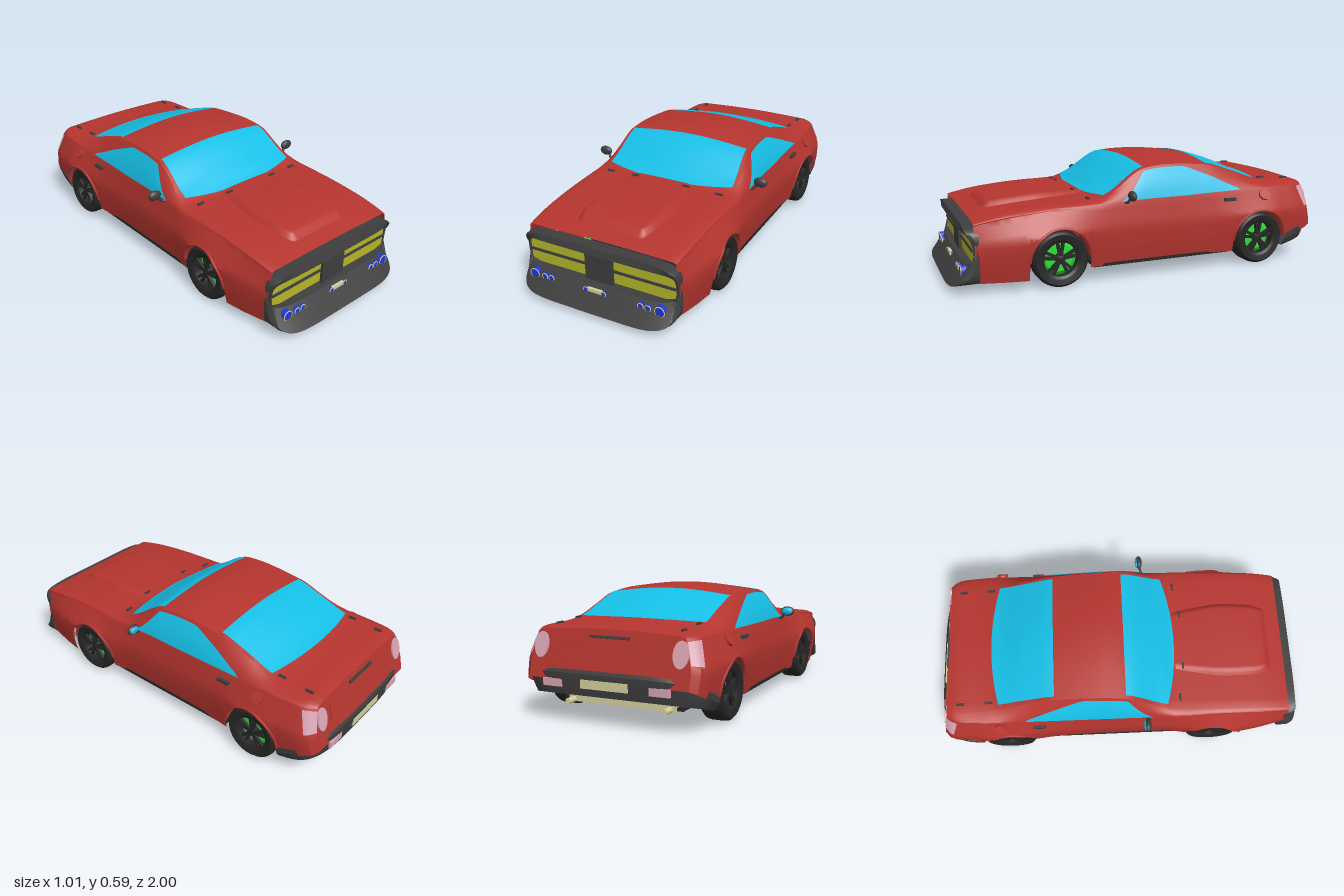
import * as THREE from 'three';
import { toCreasedNormals } from 'three/addons/utils/BufferGeometryUtils.js';

const mat = (c) => new THREE.MeshStandardMaterial({ color: c, side: THREE.DoubleSide });
const RED = mat(0xb5352f), GLASS = mat(0x16bfe6), DARK = mat(0x3e3e3e), TYRE = mat(0x262626),
  YELLOW = mat(0xb4b52a), BLUE = mat(0x2038d8), GREEN = mat(0x2fdc35), CREAM = mat(0xd6d09c), PINK = mat(0xd8a3b2);
const lerp = THREE.MathUtils.lerp;

// Smooth curve without overshoot through rows [position, value, value...], column c
function curve(rows, c, p) {
  const r = rows[0][0] < rows[1][0] ? rows : [...rows].reverse(), n = r.length;
  p = Math.min(Math.max(p, r[0][0]), r[n - 1][0]);
  let i = 0;
  while (i < n - 2 && p > r[i + 1][0]) i++;
  const d = (k) => (r[k + 1][c] - r[k][c]) / (r[k + 1][0] - r[k][0]);
  const m = (k) => {
    if (k === 0) return d(0);
    if (k === n - 1) return d(n - 2);
    const a = d(k - 1), b = d(k);
    return a * b <= 0 ? 0 : 2 * a * b / (a + b);
  };
  const h = r[i + 1][0] - r[i][0], t = (p - r[i][0]) / h, t2 = t * t, t3 = t2 * t;
  return (2 * t3 - 3 * t2 + 1) * r[i][c] + (t3 - 2 * t2 + t) * h * m(i)
    + (3 * t2 - 2 * t3) * r[i + 1][c] + (t3 - t2) * h * m(i + 1);
}

// Surface from a rule over two lists of parameters
function grid(as, bs, fn) {
  const pos = [], idx = [], w = bs.length;
  as.forEach((a) => bs.forEach((b) => pos.push(...fn(a, b))));
  for (let i = 0; i < as.length - 1; i++) for (let j = 0; j < w - 1; j++) {
    const k = i * w + j;
    idx.push(k, k + w, k + 1, k + 1, k + w, k + w + 1);
  }
  const g = new THREE.BufferGeometry();
  g.setAttribute('position', new THREE.Float32BufferAttribute(pos, 3));
  g.setIndex(idx);
  return toCreasedNormals(g, 0.5);
}
const range = (a, b, n) => Array.from({ length: n + 1 }, (_, i) => lerp(a, b, i / n));

// Body stations: z, waist x, belt x, belt y, roof edge x, roof edge y, centre top y
const KEYS = [
  [0.93, 0.405, 0.39, 0.315, 0.375, 0.328, 0.333], [0.85, 0.425, 0.40, 0.335, 0.385, 0.35, 0.356],
  [0.7, 0.458, 0.41, 0.357, 0.39, 0.375, 0.385], [0.5, 0.482, 0.415, 0.375, 0.39, 0.392, 0.4],
  [0.28, 0.45, 0.42, 0.385, 0.385, 0.4, 0.408], [0.2, 0.442, 0.42, 0.388, 0.378, 0.428, 0.458],
  [0, 0.44, 0.42, 0.39, 0.358, 0.545, 0.573], [-0.12, 0.44, 0.42, 0.39, 0.352, 0.556, 0.59],
  [-0.36, 0.447, 0.42, 0.395, 0.347, 0.54, 0.569], [-0.5, 0.46, 0.42, 0.4, 0.347, 0.497, 0.53],
  [-0.7, 0.475, 0.42, 0.41, 0.352, 0.436, 0.453], [-0.8, 0.464, 0.415, 0.41, 0.357, 0.43, 0.443],
  [-0.86, 0.455, 0.41, 0.41, 0.36, 0.43, 0.44], [-0.9, 0.44, 0.395, 0.41, 0.355, 0.428, 0.437],
  [-0.93, 0.405, 0.37, 0.405, 0.34, 0.42, 0.43]];
const WHEELS = [0.475, -0.635], ARCH = 0.155, AXLE = 0.14;

function lowerEdge(z) {
  for (const c of WHEELS) {
    const d = Math.abs(z - c);
    if (d < ARCH) return AXLE + Math.sqrt(ARCH * ARCH - d * d);
  }
  return z > 0.6 ? 0.05 : z < -0.75 ? lerp(0.09, 0.2, (-0.75 - z) / 0.18) : 0.08;
}
// u: 0-1 flank, 1-2 cabin side, 2-3 roof, hood and deck
function bodyPoint(u, z) {
  const [W, xB, yB, xR, yR, yT] = [1, 2, 3, 4, 5, 6].map((c) => curve(KEYS, c, z));
  let x, y;
  if (u <= 1) {
    y = lerp(lowerEdge(z), yB, u);
    const s = (y - 0.08) / (yB - 0.08);
    x = s < 0.62 ? W * (0.95 + 0.05 * Math.sin(Math.PI / 2 * s / 0.62)) : lerp(W, xB, (s - 0.62) / 0.38);
  } else if (u <= 2) {
    x = lerp(xB, xR, u - 1) + 0.008 * Math.sin(Math.PI * (u - 1));
    y = lerp(yB, yR, u - 1);
  } else {
    x = xR * (3 - u);
    y = lerp(yR, yT, Math.sin(Math.PI / 2 * (u - 2)));
  }
  const lean = THREE.MathUtils.smoothstep(-z, 0.78, 0.92) * 0.25;
  return new THREE.Vector3(x, y, z - lean * (0.435 - y));
}
// Point lifted off the body skin
function lifted(u, z, h = 0.004) {
  const e = 0.004, p = bodyPoint(u, z);
  const du = bodyPoint(Math.min(u + e, 3), z).sub(bodyPoint(u - e, z));
  const dz = bodyPoint(u, z + e).sub(bodyPoint(u, z - e));
  return p.addScaledVector(du.cross(dz).normalize(), h);
}

export function createModel() {
  const car = new THREE.Group();
  const add = (name, geo, m, x = 0, y = 0, z = 0, parent = car) => {
    const o = new THREE.Mesh(geo, m);
    o.name = name;
    o.position.set(x, y, z);
    parent.add(o);
    return o;
  };
  const box = (name, m, w, h, d, x, y, z) => add(name, new THREE.BoxGeometry(w, h, d), m, x, y, z);

  // Body shell with cut wheel arches
  const zs = range(0.88, -0.93, 70);
  for (const c of WHEELS) {
    for (let k = 0; k <= 24; k++) zs.push(c + ARCH * 0.99999 * Math.cos(Math.PI * k / 24));
    zs.push(c + ARCH + 0.0005, c - ARCH - 0.0005);
  }
  zs.sort((a, b) => b - a);
  const us = [...range(0, 1, 12), ...range(1, 2, 6).slice(1), ...range(2, 3, 8).slice(1)];
  const both = [...us, ...us.slice(0, -1).reverse().map((u) => -u - 1e-9)];
  add('bodyShell', grid(zs, both, (z, u) => {
    const p = bodyPoint(Math.max(0, Math.abs(u)), z);
    return [u < 0 ? -p.x : p.x, p.y, p.z];
  }), RED);
  add('tailPanel', grid(us, [-1, 1], (u, s) => {
    const p = bodyPoint(u, -0.93);
    return [s * p.x, p.y, p.z];
  }), RED);

  // Glass
  const glass = (name, u0, zTop, zBase) => add(name, grid(range(-1, 1, 24), range(0, 1, 12), (a, t) => {
    const p = lifted(lerp(3, u0, Math.abs(a)), lerp(zTop(a), zBase(a), t));
    return [a < 0 ? -p.x : p.x, p.y, p.z];
  }), GLASS);
  glass('windshield', 2.05, () => 0.005, (a) => 0.28 - 0.055 * a * a);
  glass('rearWindow', 2.05, () => -0.36, (a) => -0.7 + 0.04 * a * a);

  for (const s of [1, -1]) {
    const side = s > 0 ? 'left' : 'right';
    add(side + 'SideWindow', grid(range(0, 1, 30), range(0, 1, 6), (t, v) => {
      const top = Math.min(1, t * 5) * Math.min(1, Math.pow((1 - t) * 2.2, 0.7));
      const p = lifted(1.05 + 0.87 * top * v, 0.15 - 0.68 * t);
      return [s * p.x, p.y, p.z];
    }), GLASS);
    add(side + 'TailLightSide', grid(range(0.5, 0.96, 8), range(0, 1, 6), (u, t) => {
      const p = lifted(u, lerp(-0.875 - 0.03 * (0.96 - u), -0.929, t));
      return [s * p.x, p.y, p.z];
    }), PINK);
    // Tail light rear face
    const lens = add(side + 'TailLight', new THREE.CylinderGeometry(0.06, 0.06, 0.01, 20), PINK, s * 0.352, 0.345, -0.955);
    lens.scale.x = 0.62;
    lens.rotation.x = Math.PI / 2 + 0.245;
    // Door mirror
    add(side + 'Mirror', new THREE.SphereGeometry(1, 20, 12), DARK, s * 0.47, 0.428, 0.115).scale.set(0.037, 0.026, 0.018);
    add(side + 'MirrorGlass', new THREE.SphereGeometry(1, 16, 10), GLASS, s * 0.47, 0.428, 0.105).scale.set(0.03, 0.02, 0.012);
    add(side + 'MirrorStalk', new THREE.TubeGeometry(new THREE.QuadraticBezierCurve3(
      new THREE.Vector3(s * 0.415, 0.39, 0.13), new THREE.Vector3(s * 0.44, 0.38, 0.125), new THREE.Vector3(s * 0.45, 0.42, 0.115)), 8, 0.007, 8), DARK);
    // Handle, filler cap and panel pins
    box(side + 'DoorHandle', DARK, 0.016, 0.016, 0.065, s * 0.44, 0.362, -0.455);
    add(side + 'FillerCap', new THREE.CylinderGeometry(0.03, 0.03, 0.012, 20), RED, s * 0.446, 0.375, -0.66).rotation.z = s * -1.0;
    for (const [x, y, z, w, d] of [[0.32, 0.405, 0.295, 0.04, 0.012], [0.15, 0.423, 0.32, 0.035, 0.01], [0.33, 0.346, 0.85, 0.04, 0.012],
      [0.32, 0.447, -0.71, 0.012, 0.04], [0.32, 0.437, -0.86, 0.012, 0.04]]) box(side + 'PanelPin', DARK, w, 0.008, d, s * x, y, z);
    // Wheels, arch lips and wells
    for (const c of WHEELS) {
      const end = c > 0 ? 'Front' : 'Rear';
      const lip = range(0, Math.PI, 24).map((a) => {
        const p = bodyPoint(0, c + ARCH * 0.9999 * Math.cos(a));
        return new THREE.Vector3(s * p.x, p.y, p.z);
      });
      add(side + end + 'ArchLip', new THREE.TubeGeometry(new THREE.CatmullRomCurve3(lip), 40, 0.007, 6), RED);
      const well = add(side + end + 'WheelWell', new THREE.CylinderGeometry(ARCH, ARCH, 0.14, 24, 1, true, 0, Math.PI), RED, s * 0.375, AXLE, c);
      well.rotation.z = Math.PI / 2;
      add(side + end + 'WellWall', new THREE.CircleGeometry(ARCH, 24, 0, Math.PI), RED, s * 0.31, AXLE, c).rotation.y = Math.PI / 2;
      const wheel = makeWheel(add);
      wheel.name = side + end + 'Wheel';
      wheel.position.set(s * 0.4, AXLE, c);
      if (s < 0) wheel.rotation.y = Math.PI;
      car.add(wheel);
    }
    // Grille panel and lamps
    const g = new THREE.Shape([[0.075, 0.148], [0.35, 0.148], [0.395, 0.163], [0.398, 0.25], [0.375, 0.285], [0.075, 0.285]]
      .map(([x, y]) => new THREE.Vector2(s * x, y)));
    add(side + 'GrillePanel', new THREE.ExtrudeGeometry(g, { depth: 0.012, bevelEnabled: false }), YELLOW, 0, 0, 0.873);
    box(side + 'GrilleSlat', DARK, 0.325, 0.012, 0.02, s * 0.237, 0.213, 0.882);
    for (const [x, r] of [[0.345, 0.025], [0.285, 0.015], [0.247, 0.015], [0.048, 0.013]]) {
      add(side + 'Lamp', new THREE.CylinderGeometry(r, r, 0.03, 16), BLUE, s * x, 0.11, 0.927).rotation.x = Math.PI / 2;
      add(side + 'LampRing', new THREE.TorusGeometry(r, 0.0025, 6, 16), CREAM, s * x, 0.11, 0.941);
    }
    box(side + 'RearReflector', PINK, 0.1, 0.035, 0.012, s * 0.27, 0.185, -0.993);
    add(side + 'ExhaustTip', new THREE.CylinderGeometry(0.014, 0.014, 0.08, 14), CREAM, s * 0.25, 0.08, -0.875).rotation.x = Math.PI / 2;
  }
  box('grillePillar', DARK, 0.15, 0.15, 0.03, 0, 0.216, 0.885);
  box('noseBar', CREAM, 0.08, 0.024, 0.03, 0, 0.11, 0.927);

  // Hood scoop
  add('hoodScoop', grid(range(0.8, 0.28, 40), range(-1, 1, 40), (z, a) => {
    const w = curve([[0.28, 0.165], [0.4, 0.19], [0.55, 0.21], [0.7, 0.205], [0.8, 0.18]], 1, z);
    const h = 0.026 * Math.min(1, (1 - Math.abs(a)) * 8) * Math.min(1, (0.8 - z) / 0.03) * lerp(0.5, 1, Math.min(1, (z - 0.28) * 4));
    return [a * w, bodyPoint(3 - Math.abs(a) * w / curve(KEYS, 4, z), z).y + h - 0.001, z];
  }), RED);

  // Nose frame: concave face running out to a chin
  const FACE = [[0.03, 1], [0.06, 0.975], [0.1, 0.943], [0.16, 0.914], [0.22, 0.91], [0.28, 0.932], [0.31, 0.94], [0.33, 0.925]];
  const face = (x, y) => curve(FACE, 1, y) - 0.03 * Math.pow(Math.abs(x) / 0.42, 6);
  const power = (v, e) => Math.sign(v) * Math.pow(Math.abs(v), e);
  const rings = [[0.42, 0.18, 0.148, () => 0.86], [0.42, 0.18, 0.148, (x, y) => face(x, y) - 0.015],
    [0.41, 0.18, 0.15, face], [0.4, 0.216, 0.082, (x, y) => face(x, y) - 0.004], [0.4, 0.216, 0.08, () => 0.872], [0, 0.216, 0, () => 0.872]];
  add('noseFrame', grid(rings, range(0, Math.PI * 2, 96), ([w, cy, h, zf], a) => {
    const x = w * power(Math.cos(a), 0.3), y = cy + h * power(Math.sin(a), 0.3);
    return [x, y, zf(x, y)];
  }), DARK);

  // Rear bumper, wrapping the tail and closing under it
  const bands = [[0.96, 0.15, 0.1], [1, 0.145, 0.09], [1, 0.115, 0.085], [0.95, 0.08, 0.055], [0, 0.08, 0.05]];
  add('rearBumper', grid(bands, range(0, Math.PI, 48), ([k, y, rise], a) => {
    const sn = Math.pow(Math.abs(Math.sin(a)), 0.5);
    return [0.455 * k * power(Math.cos(a), 0.5), y + rise * sn, -0.79 - 0.21 * k * sn];
  }), DARK);
  box('numberPlate', CREAM, 0.24, 0.04, 0.012, 0, 0.19, -0.996);
  box('diffuser', CREAM, 0.56, 0.03, 0.06, 0, 0.085, -0.83);
  for (const x of [-0.15, 0, 0.15]) box('diffuserSlot', DARK, 0.08, 0.032, 0.02, x, 0.084, -0.83);

  // Trunk panel and trim strip
  box('trunkPanel', RED, 0.56, 0.085, 0.012, 0, 0.335, -0.955).rotation.x = 0.245;
  box('trunkTrim', DARK, 0.2, 0.012, 0.012, 0, 0.395, -0.943).rotation.x = 0.245;

  // Floor, notched around the wheels
  const half = [[0.33, 0.9], [0.31, 0.3], [0.425, 0.3], [0.425, -0.46], [0.31, -0.46], [0.31, -0.85]];
  const outline = [...half, ...half.map(([x, z]) => [-x, z]).reverse()].map(([x, z]) => new THREE.Vector2(x, z));
  add('floor', new THREE.ExtrudeGeometry(new THREE.Shape(outline), { depth: 0.015, bevelEnabled: false }), TYRE, 0, 0.09, 0).rotation.x = Math.PI / 2;
  return car;
}

// Wheel with its outer face toward +x
function makeWheel(add) {
  const wheel = new THREE.Group();
  const lathe = (name, pts, m) => {
    add(name, toCreasedNormals(new THREE.LatheGeometry(pts.map(([r, y]) => new THREE.Vector2(r, y)), 40), 0.6), m, 0, 0, 0, wheel).rotation.z = -Math.PI / 2;
  };
  lathe('tyre', [[0.092, -0.05], [0.125, -0.057], [0.137, -0.045], [0.14, -0.03], [0.14, 0.03], [0.137, 0.045], [0.125, 0.057], [0.098, 0.052], [0.092, 0.03]], TYRE);
  lathe('rimBarrel', [[0.001, 0.008], [0.07, 0.008], [0.092, -0.01], [0.092, -0.05]], GREEN);
  lathe('rimEdge', [[0.084, 0.01], [0.084, 0.045], [0.098, 0.052]], TYRE);
  lathe('hub', [[0.024, 0.008], [0.024, 0.036], [0.015, 0.042], [0.001, 0.042]], TYRE);
  for (let i = 0; i < 5; i++) for (const o of [-0.17, 0.17]) {
    const a = i * Math.PI * 0.4 + o;
    const spoke = add('spoke', new THREE.BoxGeometry(0.016, 0.075, 0.014), TYRE, 0.033, Math.cos(a) * 0.053, Math.sin(a) * 0.053, wheel);
    spoke.rotation.x = a;
  }
  return wheel;
}
